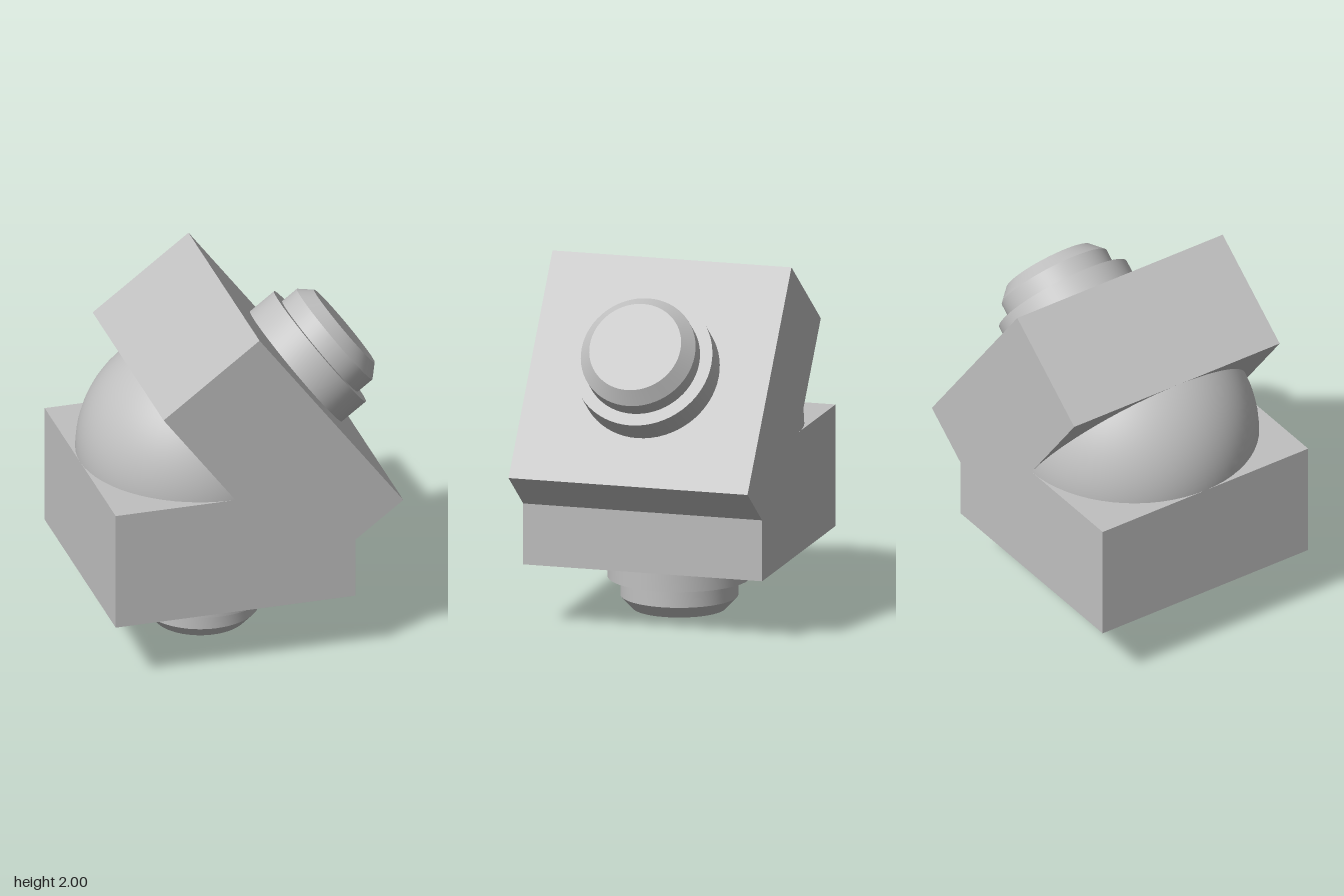
import * as THREE from 'three';
import { toCreasedNormals } from 'three/addons/utils/BufferGeometryUtils.js';

const HALF = 0.6875; // half block width, also arm length and ball radius
const PIVOT = new THREE.Vector3(-0.1475, 1.035, 0);
const BEND = Math.atan2(0.8, 0.6); // tilt of the upper arm from vertical

export function createModel() {
  const model = new THREE.Group();
  model.name = 'elbowJoint';
  const grey = new THREE.MeshStandardMaterial({ color: 0xc0c0c0 });
  grey.name = 'light grey';

  const add = (geometry, name, parent = model) => {
    const mesh = new THREE.Mesh(geometry, grey);
    mesh.name = name;
    parent.add(mesh);
    return mesh;
  };

  // Two square blocks joined at an angle, as one outline
  const outline = new THREE.Shape([
    [-0.835, 0.3475], [0.54, 0.3475], [0.54, 0.692], [0.815, 0.898],
    [-0.01, 1.9975], [-0.56, 1.585], [PIVOT.x, PIVOT.y], [-0.835, PIVOT.y],
  ].map(([x, y]) => new THREE.Vector2(x, y)));
  const body = new THREE.ExtrudeGeometry(outline, { depth: 2 * HALF, bevelEnabled: false });
  body.translate(0, 0, -HALF);
  add(body, 'bentBody');

  // Ball filling the outside of the bend
  const ball = add(new THREE.SphereGeometry(HALF, 64, 48), 'ball');
  ball.position.copy(PIVOT);

  // Stepped, chamfered plug on the end of each arm
  const profile = [
    [0.395, HALF - 0.02], [0.395, 0.86], [0.325, 0.86],
    [0.325, 0.965], [0.26, 1.035], [0, 1.035],
  ].map(([r, y]) => new THREE.Vector2(r, y));
  const plug = toCreasedNormals(new THREE.LatheGeometry(profile, 64), 0.4);
  for (const [name, angle] of [['lowerPlug', Math.PI], ['upperPlug', -BEND]]) {
    const mesh = add(plug, name);
    mesh.position.copy(PIVOT);
    mesh.rotation.z = angle;
  }
  return model;
}
